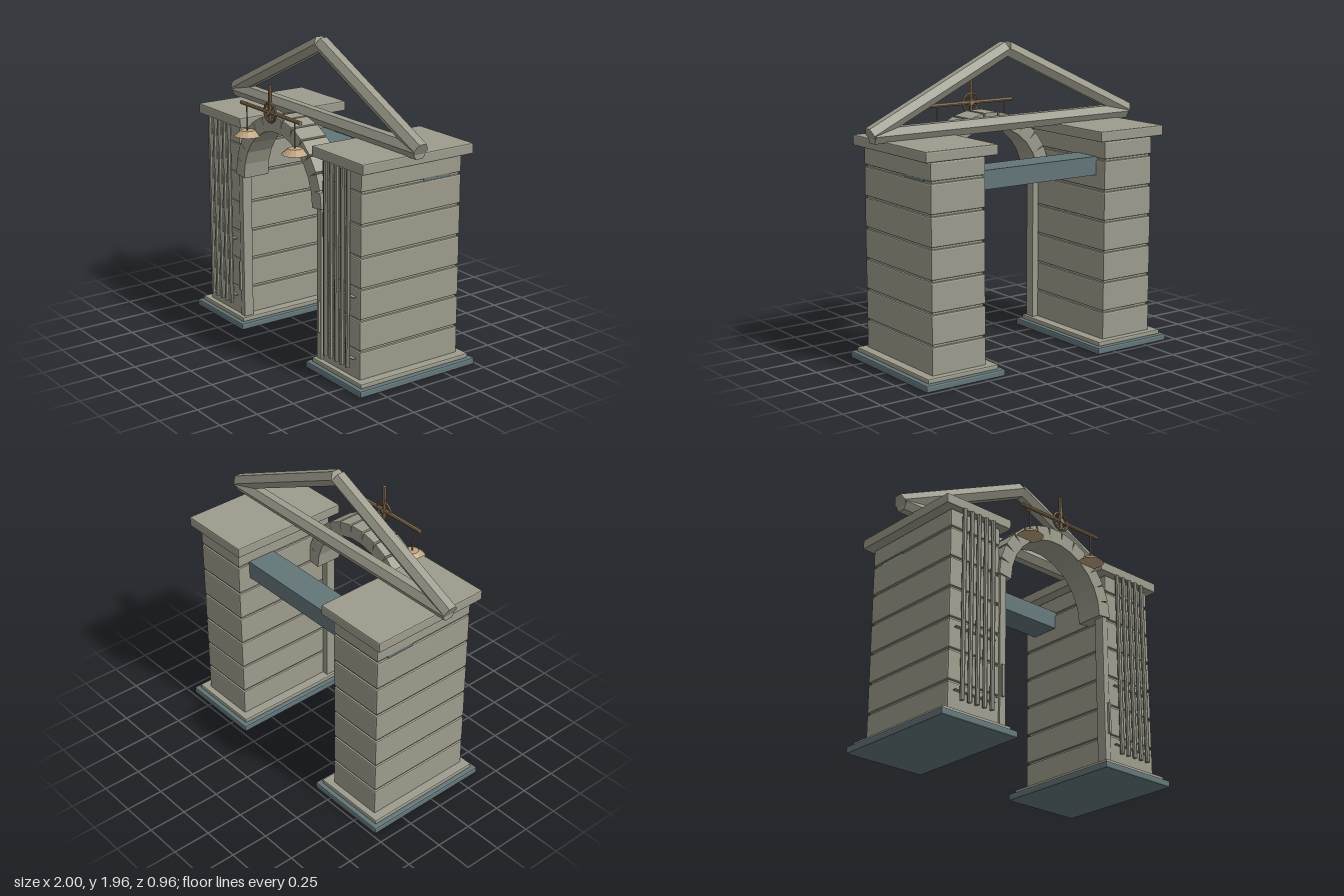
import * as THREE from 'three';
import { RoundedBoxGeometry } from 'three/addons/geometries/RoundedBoxGeometry.js';

const paint = (name, color) => {
  const m = new THREE.MeshStandardMaterial({ color, flatShading: true });
  m.name = name;
  return m;
};

export function createModel() {
  const stone = paint('stone', 0x9d9c8d);
  const slate = paint('slate', 0x647679);
  const bronze = paint('bronze', 0x8f7759);
  const tan = paint('tan', 0xbfa481);

  const root = new THREE.Group();
  root.name = 'archedGateway';

  const add = (parent, name, geometry, material, x = 0, y = 0, z = 0) => {
    const mesh = new THREE.Mesh(geometry, material);
    mesh.name = name;
    mesh.position.set(x, y, z);
    parent.add(mesh);
    return mesh;
  };
  // Box given by its limits, chamfered when bevel > 0
  const box = (parent, name, material, [x0, x1], [y0, y1], [z0, z1], bevel = 0) => {
    const size = [x1 - x0, y1 - y0, z1 - z0];
    const geometry = bevel ? new RoundedBoxGeometry(...size, 1, bevel) : new THREE.BoxGeometry(...size);
    return add(parent, name, geometry, material, (x0 + x1) / 2, (y0 + y1) / 2, (z0 + z1) / 2);
  };
  // Straight bar between two points
  const bar = (parent, name, material, a, b, radius, sides) => {
    const from = new THREE.Vector3(...a), to = new THREE.Vector3(...b);
    const dir = to.clone().sub(from);
    const mesh = add(parent, name, new THREE.CylinderGeometry(radius, radius, dir.length(), sides), material);
    mesh.position.copy(from).add(to).multiplyScalar(0.5);
    mesh.quaternion.setFromUnitVectors(new THREE.Vector3(0, 1, 0), dir.normalize());
    return mesh;
  };

  for (const side of [-1, 1]) {
    const pillar = new THREE.Group();
    pillar.name = side > 0 ? 'leftPillar' : 'rightPillar';
    root.add(pillar);
    const span = (a, b) => (side > 0 ? [a, b] : [-b, -a]);

    // Plinth, step and cap
    box(pillar, 'plinth', slate, span(0.362, 0.928), [0, 0.045], [-0.482, 0.396], 0.01);
    box(pillar, 'plinthStep', stone, span(0.392, 0.898), [0.04, 0.072], [-0.452, 0.368], 0.008);
    box(pillar, 'cap', stone, span(0.392, 0.898), [1.352, 1.418], [-0.452, 0.368], 0.008);

    // Stacked blocks around a recessed core
    box(pillar, 'core', stone, span(0.468, 0.827), [0.06, 1.36], [-0.397, 0.322]);
    for (let i = 0; i < 7; i++) {
      const y = 0.06 + i * 0.1955;
      box(pillar, 'block', stone, span(0.455, 0.84), [y, Math.min(y + 0.183, 1.346)], [-0.41, 0.335], 0.009);
    }

    // Front ribs and the thin ties behind them
    for (let i = 0; i < 5; i++) {
      const x = side * (0.535 + i * 0.0562);
      bar(pillar, 'rib', stone, [x, 0.135, 0.366], [x, 1.357, 0.366], 0.0145, 8);
    }
    for (const y of [0.195, 0.585]) {
      box(pillar, 'ribTie', stone, span(0.5, 0.8), [y - 0.003, y + 0.003], [0.33, 0.356]);
    }

    // Door jamb with a small slat
    box(pillar, 'jamb', stone, span(0.41, 0.458), [0.07, 1.12], [0.275, 0.345], 0.006);
    box(pillar, 'jambSlat', stone, span(0.434, 0.45), [0.25, 0.45], [0.34, 0.36]);
  }

  // Tie beam at the rear
  box(root, 'tieBeam', slate, [-0.835, 0.835], [1.125, 1.243], [-0.325, -0.13]);

  // Arch of separate stones
  const arch = new THREE.Group();
  arch.name = 'arch';
  root.add(arch);
  const stones = 13;
  for (let i = 0; i < stones; i++) {
    const a = ((i + 0.5) / stones) * Math.PI;
    const block = add(arch, 'archStone', new RoundedBoxGeometry(0.097, 0.102, 0.184, 1, 0.004), stone,
      Math.cos(a) * 0.421, 1.032 + Math.sin(a) * 0.421, 0.262);
    block.rotation.z = a;
  }

  // Pediment: three six-sided bars
  const pediment = new THREE.Group();
  pediment.name = 'pediment';
  root.add(pediment);
  const pz = 0.018;
  bar(pediment, 'lowerBar', stone, [-0.97, 1.456, pz], [0.97, 1.456, pz], 0.052, 6);
  for (const s of [-1, 1]) {
    bar(pediment, 'rakingBar', stone, [s * 0.981, 1.463, pz], [s * 0.003, 1.922, pz], 0.052, 6);
  }

  // Lamp carrier with wheel
  const carrier = new THREE.Group();
  carrier.name = 'lampCarrier';
  carrier.position.set(0, 1.543, 0.398);
  root.add(carrier);
  bar(carrier, 'crossRod', bronze, [-0.325, 0, 0], [0.325, 0, 0], 0.013, 8);
  bar(carrier, 'post', bronze, [0, -0.06, 0], [0, 0.172, 0], 0.012, 8);
  add(carrier, 'wheelRim', new THREE.TorusGeometry(0.06, 0.0085, 8, 24), bronze);
  for (let i = 0; i < 4; i++) {
    const a = (i * Math.PI) / 4, c = Math.cos(a) * 0.06, s = Math.sin(a) * 0.06;
    bar(carrier, 'spoke', bronze, [-c, -s, 0], [c, s, 0], 0.004, 6);
  }
  bar(carrier, 'hub', bronze, [0, 0, -0.016], [0, 0, 0.016], 0.017, 10);

  // Hanging lamps
  for (const s of [-1, 1]) {
    const x = s * 0.262;
    bar(carrier, 'hanger', bronze, [x, -0.17, 0], [x, 0, 0], 0.005, 6);
    add(carrier, 'lampShade', new THREE.CylinderGeometry(0.043, 0.085, 0.034, 12), tan, x, -0.184, -0.003);
  }
  return root;
}
